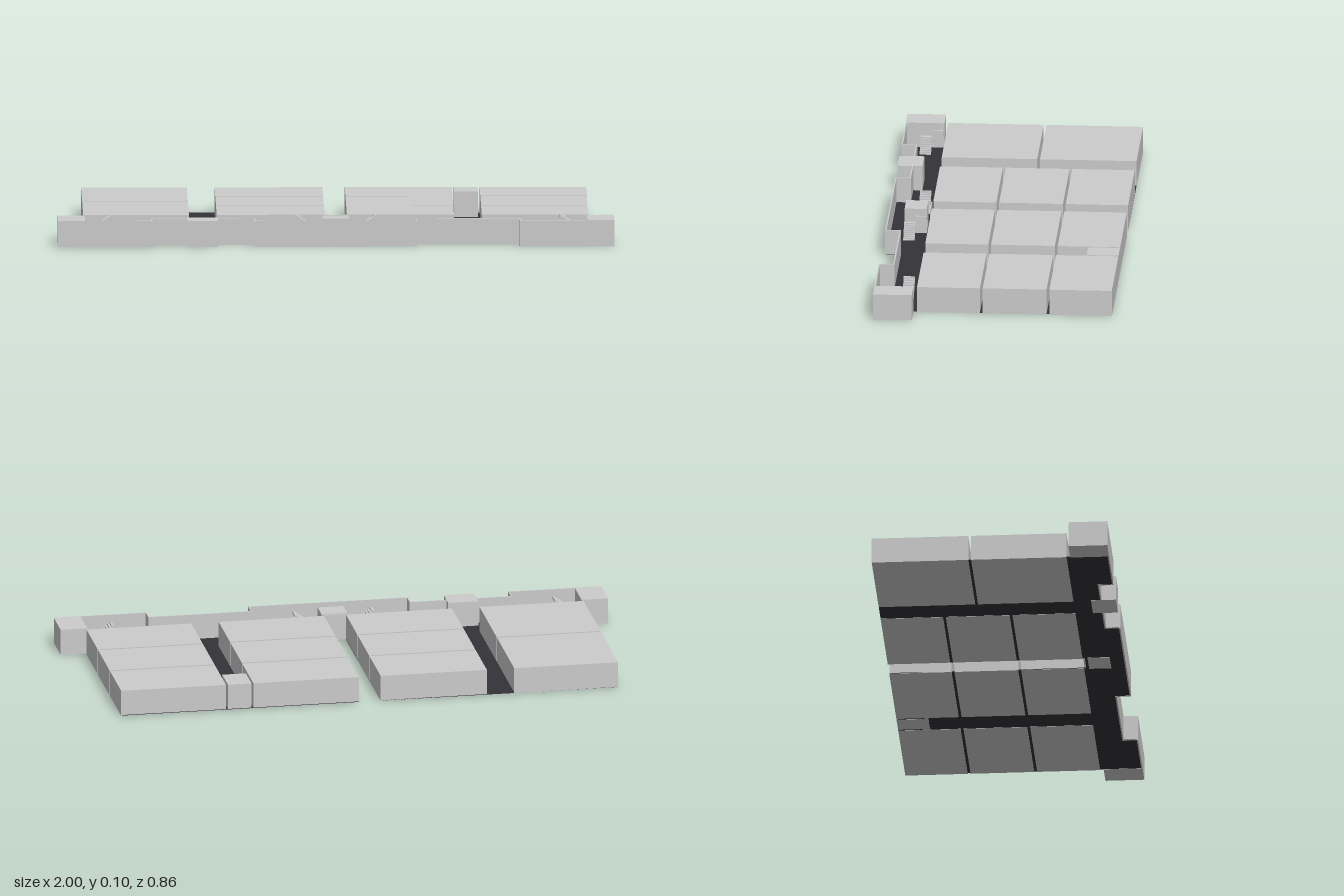
import * as THREE from 'three';

const grey = new THREE.MeshStandardMaterial({ color: 0xcccccc, flatShading: true });
const dark = new THREE.MeshStandardMaterial({ color: 0x333338, flatShading: true });
const H = 0.095; // storey height

// Box given by its limits on each axis
function block(parent, name, x0, x1, z0, z1, y0 = 0, y1 = H) {
  const mesh = new THREE.Mesh(new THREE.BoxGeometry(x1 - x0, y1 - y0, z1 - z0), grey);
  mesh.position.set((x0 + x1) / 2, (y0 + y1) / 2, (z0 + z1) / 2);
  mesh.name = name;
  parent.add(mesh);
}

// Column of rooms split along z by narrow gaps
function roomColumn(parent, x0, x1, cuts) {
  const edges = [-0.43, ...cuts, 0.272];
  for (let i = 0; i < edges.length - 1; i++) {
    const z0 = edges[i] + (i > 0 ? 0.005 : 0);
    const z1 = edges[i + 1] - (i < edges.length - 2 ? 0.005 : 0);
    block(parent, 'room', x0, x1, z0, z1);
  }
}

// Switchback stair: landing at x, both flights on the side given by dir
function stair(parent, x, dir) {
  const group = new THREE.Group();
  group.name = 'stair';
  const part = (name, a, b, z0, z1, y0, y1) =>
    block(group, name, Math.min(x + dir * a, x + dir * b), Math.max(x + dir * a, x + dir * b), z0, z1, y0, y1);
  part('landing', 0, 0.02, 0.285, 0.37, 0.042, 0.05);
  const n = 8;
  for (let i = 0; i < n; i++) {
    const up = 0.05 + (i + 1) * 0.05 / n;
    const down = 0.05 - (i + 1) * 0.05 / (n + 1);
    part('upperStep', 0.02 + i * 0.07 / n, 0.02 + (i + 1) * 0.07 / n, 0.285, 0.326, up - 0.01, up);
    part('lowerStep', 0.02 + i * 0.056 / n, 0.02 + (i + 1) * 0.056 / n, 0.329, 0.37, Math.max(0.002, down - 0.01), down);
  }
  parent.add(group);
}

export function createModel() {
  const model = new THREE.Group();
  model.name = 'floorPlan';

  // Floor slab with a slot between the wings and two recesses along the front
  const outline = [
    [-0.905, -0.43], [-0.04, -0.43], [-0.04, 0.28], [0.04, 0.28], [0.04, -0.43], [0.905, -0.43],
    [0.905, 0.42], [0.66, 0.42], [0.66, 0.37], [0.29, 0.37], [0.29, 0.42],
    [-0.295, 0.42], [-0.295, 0.37], [-0.66, 0.37], [-0.66, 0.42], [-0.905, 0.42],
  ].map(([x, z]) => new THREE.Vector2(x, z));
  const slab = new THREE.ExtrudeGeometry(new THREE.Shape(outline), { depth: 0.002, bevelEnabled: false });
  slab.rotateX(Math.PI / 2).translate(0, 0.003, 0);
  const floor = new THREE.Mesh(slab, dark);
  floor.name = 'floor';
  model.add(floor);

  // Room blocks either side of the two corridors
  const rooms = new THREE.Group();
  rooms.name = 'rooms';
  roomColumn(rooms, -0.908, -0.528, [-0.077]);
  roomColumn(rooms, -0.428, -0.04, [-0.2, 0.04]);
  roomColumn(rooms, 0.04, 0.425, [-0.2, 0.04]);
  roomColumn(rooms, 0.525, 0.908, [-0.2, 0.04]);
  block(rooms, 'corridorEndRoom', 0.432, 0.518, -0.43, -0.315);
  model.add(rooms);

  // Corner blocks, entrance porch and lift shaft
  block(model, 'cornerBlock', -1, -0.903, 0.285, 0.425);
  block(model, 'cornerBlock', 0.903, 1, 0.285, 0.425);
  block(model, 'entrancePorch', -0.535, -0.425, 0.335, 0.425);
  block(model, 'liftShaft', -0.048, 0.046, 0.29, 0.37);

  // Thin front walls, stepping back at the recesses
  const walls = new THREE.Group();
  walls.name = 'walls';
  const t = 0.005;
  for (const [a, b] of [[-0.903, -0.66], [-0.295, 0.29], [0.66, 0.903]])
    block(walls, 'frontWall', a, b, 0.42, 0.42 + t);
  for (const [a, b] of [[-0.66, -0.535], [-0.425, -0.295], [0.29, 0.66]])
    block(walls, 'recessWall', a, b, 0.368, 0.368 + t);
  for (const x of [-0.66 - t, -0.295, 0.29 - t, 0.66])
    block(walls, 'returnWall', x, x + t, 0.368, 0.42);
  block(walls, 'slotWall', -0.04, 0.04, 0.275, 0.279);
  model.add(walls);

  // Stairs beside the corners and the lift shaft
  stair(model, -0.895, 1);
  stair(model, -0.055, -1);
  stair(model, 0.055, 1);
  stair(model, 0.895, -1);

  return model;
}
